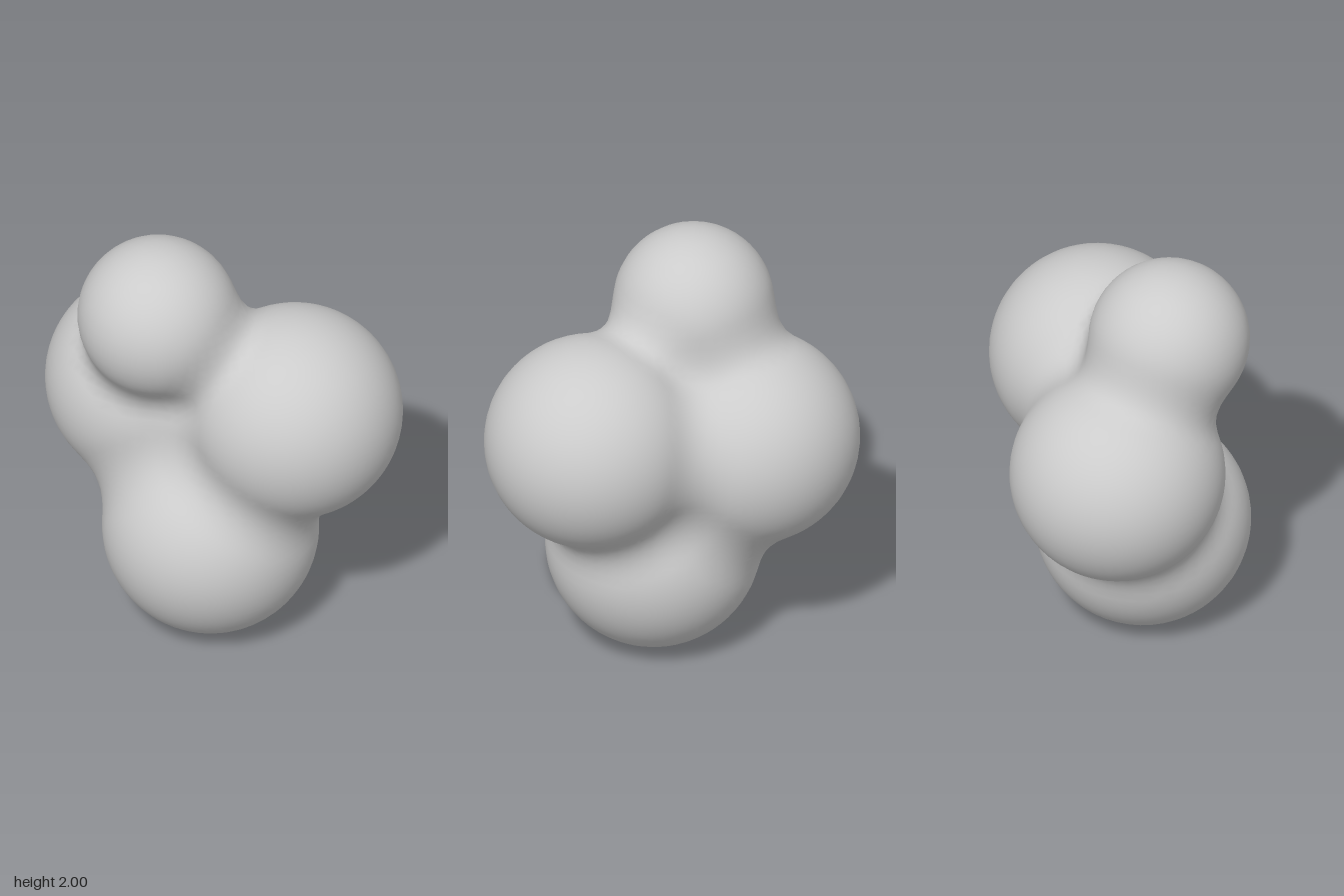
import * as THREE from 'three';

// Four balls that melt into one another: centre and visible radius
const BALLS = [
  { c: [-0.08, 1.64, 0.28], r: 0.36 },   // top
  { c: [0.35, 1.17, -0.16], r: 0.482 },  // left, behind
  { c: [-0.35, 1.05, 0.11], r: 0.482 },  // right
  { c: [0.09, 0.485, 0.115], r: 0.484 }, // bottom
];
const LEVEL = 0.15;                               // field value on the skin
const REACH = 1 / Math.sqrt(1 - Math.cbrt(LEVEL)); // influence radius / visible radius
const CELL = 0.05;
const ORIGIN = [-1, -0.16, -0.8];
const SIZE = [40, 47, 32];

// Summed falloff of all balls, positive inside the skin, with its gradient
function field(p) {
  let value = -LEVEL;
  const grad = [0, 0, 0];
  for (const { c, r } of BALLS) {
    const R2 = (r * REACH) ** 2;
    const d = p.map((v, i) => v - c[i]);
    const u = 1 - (d[0] ** 2 + d[1] ** 2 + d[2] ** 2) / R2;
    if (u <= 0) continue;
    value += u ** 3;
    d.forEach((v, i) => { grad[i] -= 6 * u * u * v / R2; });
  }
  return { value, grad };
}

// Mesh the skin: one vertex per crossed grid cell, one quad per crossed grid edge
function blobGeometry() {
  const [nx, ny, nz] = SIZE;
  const id = (g) => g[0] + nx * (g[1] + ny * g[2]);
  const place = (g) => g.map((v, i) => ORIGIN[i] + v * CELL);
  const step = (g, axis, n) => g.map((v, i) => (i === axis ? v + n : v));
  const samples = new Float32Array(nx * ny * nz);
  const each = (lo, trim, fn) => {
    for (let k = lo; k < nz - trim; k++)
      for (let j = lo; j < ny - trim; j++)
        for (let i = lo; i < nx - trim; i++) fn([i, j, k]);
  };
  each(0, 0, (g) => { samples[id(g)] = field(place(g)).value; });

  const positions = [], normals = [], indices = [];
  const vertexOf = new Map();
  each(0, 1, (g) => {
    // Average the crossings on the cell's twelve edges
    const sum = [0, 0, 0];
    let count = 0;
    for (let corner = 0; corner < 8; corner++) {
      const a = g.map((v, i) => v + ((corner >> i) & 1));
      for (let axis = 0; axis < 3; axis++) {
        if ((corner >> axis) & 1) continue;
        const fa = samples[id(a)], fb = samples[id(step(a, axis, 1))];
        if ((fa > 0) === (fb > 0)) continue;
        place(step(a, axis, fa / (fa - fb))).forEach((v, i) => { sum[i] += v; });
        count++;
      }
    }
    if (!count) return;
    // Pull the vertex onto the exact skin
    let p = sum.map((v) => v / count);
    for (let n = 0; n < 3; n++) {
      const { value, grad } = field(p);
      const g2 = grad[0] ** 2 + grad[1] ** 2 + grad[2] ** 2;
      if (g2 > 1e-4) p = p.map((v, i) => v - value * grad[i] / g2);
    }
    const { grad } = field(p);
    const length = Math.hypot(...grad) || 1;
    vertexOf.set(id(g), positions.length / 3);
    positions.push(...p);
    normals.push(...grad.map((v) => -v / length));
  });

  each(1, 1, (g) => {
    for (let axis = 0; axis < 3; axis++) {
      const inside = samples[id(g)] > 0;
      if (inside === samples[id(step(g, axis, 1))] > 0) continue;
      const b = (axis + 1) % 3, c = (axis + 2) % 3;
      const q = [g, step(g, b, -1), step(step(g, b, -1), c, -1), step(g, c, -1)]
        .map((cell) => vertexOf.get(id(cell)));
      if (!inside) q.reverse();
      indices.push(q[0], q[1], q[2], q[0], q[2], q[3]);
    }
  });

  const geometry = new THREE.BufferGeometry();
  geometry.setAttribute('position', new THREE.Float32BufferAttribute(positions, 3));
  geometry.setAttribute('normal', new THREE.Float32BufferAttribute(normals, 3));
  geometry.setIndex(indices);
  return geometry;
}

export function createModel() {
  const group = new THREE.Group();
  group.name = 'blobCluster';
  const blob = new THREE.Mesh(blobGeometry(), new THREE.MeshStandardMaterial({ color: 0xcccccc }));
  blob.name = 'mergedBalls';
  group.add(blob);
  return group;
}
